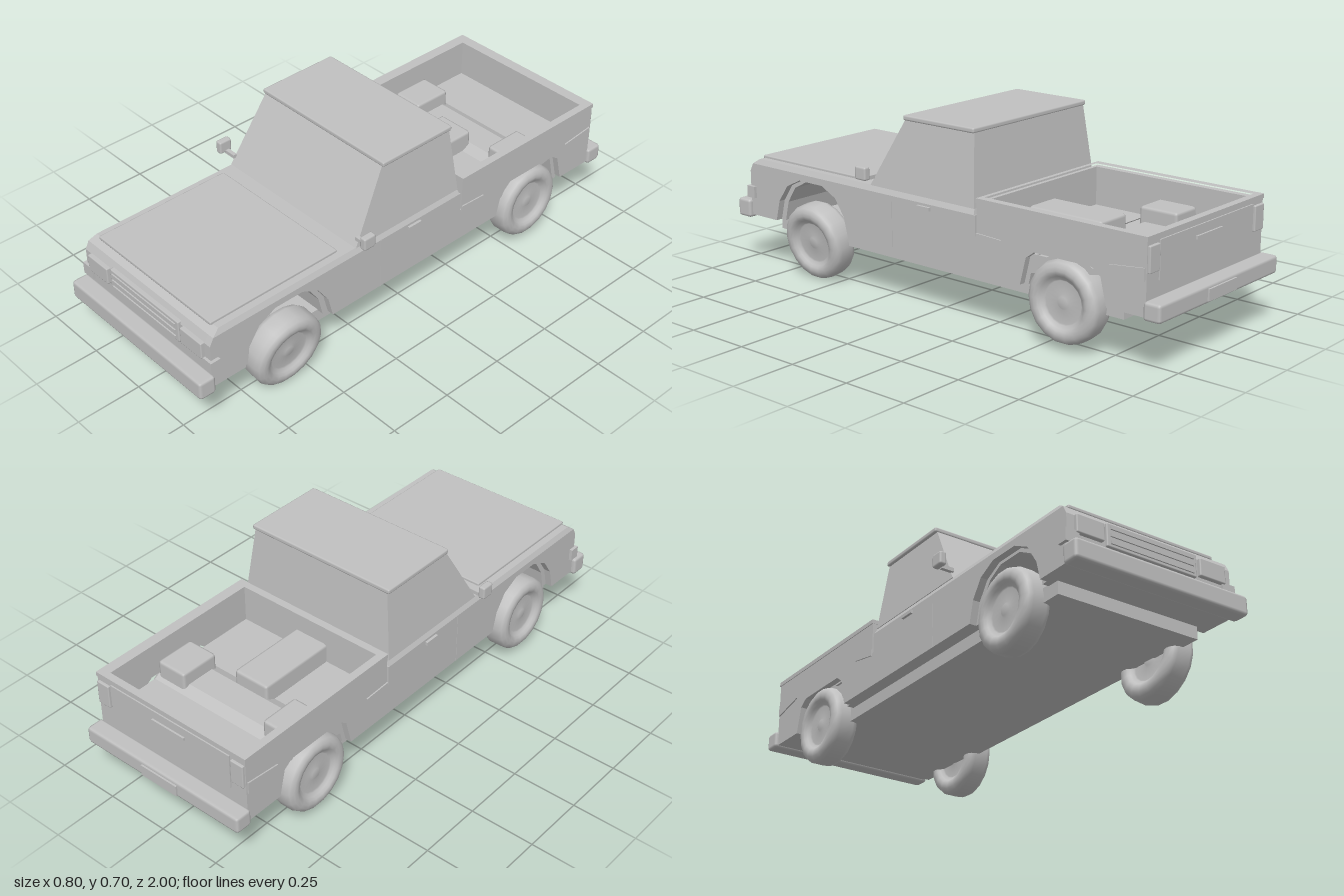
import * as THREE from 'three';
import { RoundedBoxGeometry } from 'three/addons/geometries/RoundedBoxGeometry.js';

export function createModel() {
  const truck = new THREE.Group();
  truck.name = 'pickupTruck';
  const grey = new THREE.MeshStandardMaterial({ color: 0xc0c0c0 });
  grey.name = 'plain grey';

  function add(name, geometry) {
    const mesh = new THREE.Mesh(geometry, grey);
    mesh.name = name;
    truck.add(mesh);
    return mesh;
  }

  // Box given by its limits; a bevel above zero chamfers the edges
  function box(name, x0, x1, y0, y1, z0, z1, bevel = 0) {
    const size = [x1 - x0, y1 - y0, z1 - z0];
    const g = bevel ? new RoundedBoxGeometry(...size, 1, bevel) : new THREE.BoxGeometry(...size);
    return add(name, g.translate((x0 + x1) / 2, (y0 + y1) / 2, (z0 + z1) / 2));
  }

  // Same box on both sides of the truck
  function pair(name, x0, x1, ...rest) {
    box(name + 'Left', x0, x1, ...rest);
    box(name + 'Right', -x1, -x0, ...rest);
  }

  // Block whose bottom and top rectangles differ: [half width, back z, front z]
  function taper(name, y0, low, y1, high) {
    const g = new THREE.BoxGeometry(2, 2, 2);
    const p = g.attributes.position;
    for (let i = 0; i < p.count; i++) {
      const up = p.getY(i) > 0;
      const [w, back, front] = up ? high : low;
      p.setXYZ(i, p.getX(i) * w, up ? y1 : y0, p.getZ(i) > 0 ? front : back);
    }
    g.computeVertexNormals();
    return add(name, g);
  }

  // Side profile in (z, y), extruded across x0..x1
  function profile(name, points, x0, x1) {
    const shape = new THREE.Shape(points.map(([z, y]) => new THREE.Vector2(z, y)));
    const g = new THREE.ExtrudeGeometry(shape, { depth: x1 - x0, bevelEnabled: false });
    return add(name, g.rotateY(-Math.PI / 2).translate(x1, 0, 0));
  }

  // Wheel arch outline running from back to front
  function arch(center, half, s = 1) {
    const pts = half.map(([dz, y]) => [dz * s, 0.2 + (y - 0.2) * (s + 1) / 2]);
    return [
      ...pts.map(([dz, y]) => [center - dz, y]),
      ...pts.slice().reverse().map(([dz, y]) => [center + dz, y]),
    ];
  }
  const frontArch = [[0.195, 0.2], [0.175, 0.28], [0.13, 0.345], [0.06, 0.38]];
  const rearArch = [[0.18, 0.2], [0.155, 0.3], [0.12, 0.325]];

  // Front body: narrower core with tighter arches, plus outer skins
  const frontBody = (s) => [
    [-0.215, 0.2], ...arch(0.6, frontArch, s), [0.935, 0.2],
    [0.935, 0.375], [0.92, 0.405], [-0.215, 0.405],
  ];
  profile('frontBodyCore', frontBody(0.88), -0.315, 0.315);
  for (const x of [-0.342, 0.315]) profile('frontBodySide', frontBody(1), x, x + 0.027);
  taper('shoulder', 0.405, [0.342, -0.21, 0.92], 0.425, [0.332, -0.205, 0.89]);
  box('hood', -0.305, 0.305, 0.42, 0.435, 0.35, 0.9, 0.005);

  // Cab and roof
  taper('cab', 0.425, [0.335, -0.205, 0.29], 0.685, [0.303, -0.18, 0.14]);
  box('roof', -0.314, 0.314, 0.68, 0.7, -0.185, 0.145, 0.007);
  pair('doorHandle', 0.34, 0.352, 0.383, 0.396, -0.01, 0.05);
  pair('doorSeam', 0.34, 0.3435, 0.2, 0.405, 0.178, 0.181);
  pair('mirrorArm', 0.325, 0.375, 0.452, 0.466, 0.27, 0.285);
  pair('mirror', 0.37, 0.398, 0.455, 0.506, 0.255, 0.308, 0.008);

  // Load bed: floor with a hump over the axle, sides, ends and rim
  profile('bedFloor', [
    [-0.925, 0.2], ...arch(-0.595, rearArch, 0.9), [-0.215, 0.2],
    [-0.215, 0.31], [-0.51, 0.31], [-0.55, 0.33], [-0.66, 0.33], [-0.7, 0.31], [-0.925, 0.31],
  ], -0.317, 0.317);
  for (const x of [-0.342, 0.316]) {
    profile('bedSide', [
      [-0.93, 0.2], ...arch(-0.595, rearArch), [-0.21, 0.2],
      [-0.21, 0.33], [-0.223, 0.33], [-0.223, 0.455], [-0.93, 0.455],
    ], x, x + 0.026);
  }
  box('bedFrontWall', -0.32, 0.32, 0.3, 0.455, -0.238, -0.223);
  box('tailgate', -0.32, 0.32, 0.2, 0.455, -0.93, -0.905);
  box('tailgatePanel', -0.275, 0.275, 0.31, 0.445, -0.935, -0.928);
  const rim = new THREE.Shape([[-0.345, -0.933], [0.345, -0.933], [0.345, -0.222], [-0.345, -0.222]]
    .map(([x, z]) => new THREE.Vector2(x, -z)));
  rim.holes.push(new THREE.Path([[-0.315, -0.905], [0.315, -0.905], [0.315, -0.238], [-0.315, -0.238]]
    .map(([x, z]) => new THREE.Vector2(x, -z))));
  add('bedRim', new THREE.ExtrudeGeometry(rim, { depth: 0.016, bevelEnabled: false })
    .rotateX(-Math.PI / 2).translate(0, 0.452, 0));
  pair('wheelHousing', 0.185, 0.312, 0.3, 0.385, -0.685, -0.525, 0.012);
  box('bedTunnel', -0.078, 0.072, 0.3, 0.385, -0.55, -0.22, 0.012);

  // Creases pressed into the bed sides
  for (const x of [-0.347, 0.341]) {
    profile('bedCreaseFront', [[-0.335, 0.34], [-0.223, 0.32], [-0.223, 0.345]], x, x + 0.006);
    profile('bedCreaseRear', [[-0.925, 0.32], [-0.785, 0.35], [-0.925, 0.365]], x, x + 0.006);
  }

  // Rear fittings
  pair('tailLight', 0.282, 0.338, 0.345, 0.437, -0.94, -0.92, 0.004);
  box('tailgateHandle', -0.075, 0.075, 0.4, 0.412, -0.942, -0.93);
  box('rearBumper', -0.355, 0.355, 0.192, 0.258, -0.993, -0.925, 0.012);
  box('numberPlate', -0.083, 0.083, 0.203, 0.245, -1, -0.99);

  // Front fittings
  box('frontBumper', -0.358, 0.358, 0.187, 0.26, 0.93, 0.998, 0.012);
  pair('cornerLight', 0.3, 0.354, 0.27, 0.316, 0.905, 0.945);
  pair('headlight', 0.2, 0.312, 0.31, 0.377, 0.92, 0.95, 0.005);
  box('grille', -0.188, 0.188, 0.3, 0.386, 0.92, 0.945, 0.005);
  for (let i = 0; i < 3; i++) {
    const y = 0.311 + i * 0.026;
    box('grilleSlat', -0.174, 0.174, y, y + 0.011, 0.94, 0.95);
  }

  // Chassis plate
  box('chassis', -0.291, 0.291, 0.153, 0.205, -0.81, 0.82);

  // Wheels: lathed tyre and dished rim; one front wheel leans outward
  const section = [
    [0, 0.036], [0.02, 0.036], [0.028, 0.03], [0.075, 0.03], [0.08, 0.034], [0.092, 0.04],
    [0.098, 0.05], [0.112, 0.0525], [0.126, 0.051], [0.14, 0.042], [0.147, 0.026],
  ];
  const loop = [
    ...section.map(([r, a]) => new THREE.Vector2(r, -a)),
    ...section.slice().reverse().map(([r, a]) => new THREE.Vector2(r, a)),
  ];
  const wheelGeometry = new THREE.LatheGeometry(loop, 18).rotateZ(-Math.PI / 2);
  const wheels = [
    ['frontWheelLeft', 0.3, 0.151, 0.6, -8],
    ['frontWheelRight', -0.303, 0.175, 0.6, 0],
    ['rearWheelLeft', 0.303, 0.175, -0.595, 0],
    ['rearWheelRight', -0.303, 0.175, -0.595, 0],
  ];
  for (const [name, x, y, z, lean] of wheels) {
    const wheel = add(name, wheelGeometry);
    wheel.position.set(x, y, z);
    wheel.rotation.z = THREE.MathUtils.degToRad(lean);
  }

  return truck;
}
